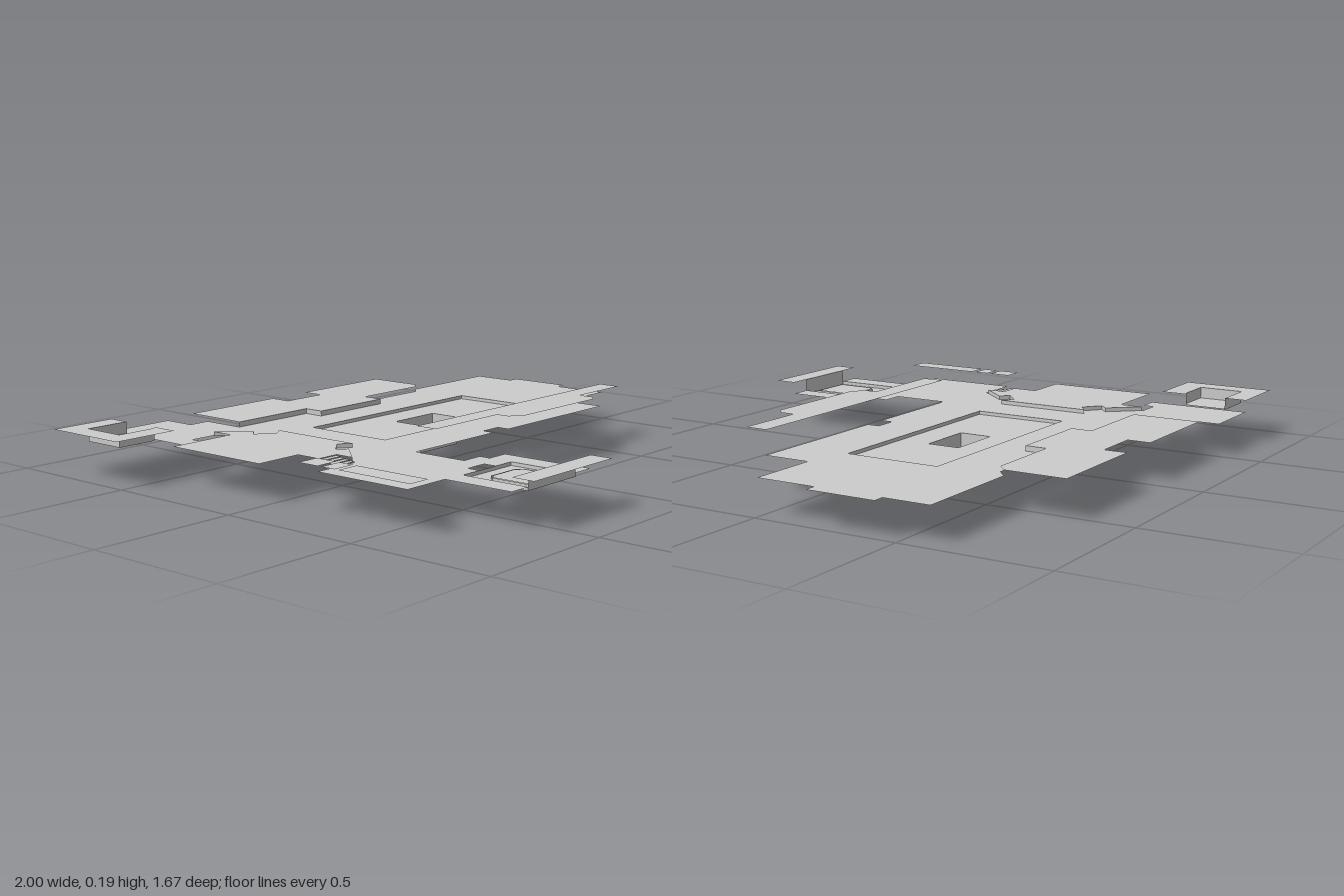
import * as THREE from 'three';

const material = new THREE.MeshStandardMaterial({ color: 0xcccccc, side: THREE.DoubleSide, flatShading: true });

// Floor levels
const SUNK = 0.1, MAIN = 0.112, RAISED = 0.13, WING = 0.126, LEDGE = 0.155, GALLERY = 0.195;

const rect = (x0, x1, z0, z1) => [[x0, z0], [x1, z0], [x1, z1], [x0, z1]];

export function createModel() {
  const model = new THREE.Group();

  function add(name, geometry) {
    const mesh = new THREE.Mesh(geometry, material);
    mesh.name = name;
    model.add(mesh);
    return mesh;
  }

  // Flat sheet from [x, z] corners, with optional holes
  function sheet(name, y, outline, holes = []) {
    const points = (list) => list.map(([x, z]) => new THREE.Vector2(x, -z));
    const shape = new THREE.Shape(points(outline));
    holes.forEach((hole) => shape.holes.push(new THREE.Path(points(hole))));
    add(name, new THREE.ShapeGeometry(shape).rotateX(-Math.PI / 2).translate(0, y, 0));
  }

  // Upright strips along a path of [x, z] corners
  function risers(name, path, y0, y1, closed = false) {
    const position = [];
    const count = closed ? path.length : path.length - 1;
    for (let i = 0; i < count; i++) {
      const [ax, az] = path[i];
      const [bx, bz] = path[(i + 1) % path.length];
      position.push(ax, y0, az, bx, y0, bz, bx, y1, bz, ax, y0, az, bx, y1, bz, ax, y1, az);
    }
    const geometry = new THREE.BufferGeometry();
    geometry.setAttribute('position', new THREE.Float32BufferAttribute(position, 3));
    geometry.computeVertexNormals();
    add(name, geometry);
  }

  // Central hall with its sunken floor and open shaft
  const basin = rect(-0.27, 0.55, -0.355, -0.02);
  const shaft = rect(0.04, 0.245, -0.245, -0.13);
  const halfEdge = [[-0.43, -0.36], [-0.47, -0.33], [-0.53, -0.38], [-0.5, -0.41], [-0.59, -0.51]];
  const wingEdge = [
    ...halfEdge.slice().reverse(),
    ...halfEdge.map(([x, z]) => [x, -0.38 - z]),
  ];
  sheet('hallFloor', MAIN, [
    ...wingEdge,
    [-0.59, 0.14], [-0.35, 0.14], [-0.35, 0.185], [-0.03, 0.185], [0.06, 0.185], [0.06, 0.14],
    [0.14, 0.14], [0.14, 0.185], [0.71, 0.185], [0.71, 0.02], [0.96, 0.02],
    [0.96, -0.19], [1, -0.19], [1, -0.43], [0.96, -0.43], [0.96, -0.59], [0.55, -0.59],
    [0.51, -0.555], [0.22, -0.555], [0.22, -0.48], [-0.1, -0.48], [-0.1, -0.555],
    [-0.43, -0.555], [-0.43, -0.72], [-0.51, -0.72], [-0.51, -0.84],
    [-0.59, -0.84],
  ], [basin]);
  sheet('sunkenHallFloor', SUNK, basin, [shaft]);
  risers('sunkenHallSteps', basin, SUNK, MAIN, true);
  risers('shaftWalls', shaft, 0, SUNK, true);

  // Back platform, stepped on its left half
  sheet('backPlatform', RAISED, [
    [-0.43, -0.8], [-0.03, -0.8], [-0.03, -0.72], [0.14, -0.72], [0.14, -0.8], [0.55, -0.8],
    [0.55, -0.59], [0.51, -0.555], [0.22, -0.555], [0.22, -0.48], [-0.1, -0.48],
    [-0.1, -0.555], [-0.43, -0.555],
  ]);
  risers('backPlatformSteps', [[-0.43, -0.555], [-0.1, -0.555], [-0.1, -0.48], [0.22, -0.48], [0.22, -0.555]], MAIN, RAISED);

  // Front gallery above the hall
  sheet('frontGallery', GALLERY, [
    [-0.34, 0.18], [0.71, 0.18], [0.71, 0.26], [0.465, 0.26], [0.465, 0.31], [0.43, 0.34],
    [0.02, 0.34], [-0.02, 0.305], [-0.02, 0.26], [-0.34, 0.26],
  ]);

  // Side wing with a zigzag stepped edge
  sheet('wingFloor', WING, [
    [-0.59, -0.43], [-0.59, -0.51], ...wingEdge.slice(1), [-0.59, 0.06], [-0.67, 0.06],
    [-0.67, -0.03], [-0.84, -0.03], [-0.84, -0.43],
  ]);
  risers('wingSteps', wingEdge, MAIN, WING);
  for (let i = 0; i < 4; i++) {
    const z = 0.06 + i * 0.02;
    const y = WING - (i + 1) * 0.0028;
    sheet('stairTread', y, rect(-0.67, -0.59, z, z + 0.02));
    risers('stairRiser', [[-0.67, z], [-0.59, z]], y, y + 0.0028);
  }

  // Back corner room with a raised surround
  const alcove = [[-0.76, -0.76], [-0.92, -0.76], [-0.92, -0.6], [-0.785, -0.6], [-0.767, -0.607], [-0.76, -0.625]];
  sheet('cornerRoomFloor', MAIN, [
    [-0.76, -0.84], [-0.59, -0.84], [-0.59, -0.515], [-0.68, -0.515], [-0.68, -0.475],
    [-0.76, -0.475],
  ]);
  sheet('alcoveFloor', MAIN + 0.003, alcove);
  risers('alcoveWalls', alcove.slice(0, 5), MAIN, LEDGE);
  sheet('alcoveLedge', LEDGE, [
    [-1, -0.84], [-0.76, -0.84], ...alcove.slice(0, 5), [-0.76, -0.607], [-0.76, -0.515], [-1, -0.515],
  ]);

  // Passage to the front room
  sheet('passageFloor', MAIN, [
    [-0.76, 0.14], [-0.35, 0.14], [-0.35, 0.385], [-0.27, 0.385], [-0.27, 0.425],
    [-0.59, 0.425], [-0.59, 0.505], [-0.76, 0.505],
  ]);
  [[0.14, 0.22], [0.235, 0.29], [0.305, 0.585]].forEach(([z0, z1]) =>
    sheet('sideLedge', LEDGE, rect(-0.84, -0.76, z0, z1)));

  // Front room with sunken floor, back wall and ledge
  const well = rect(-0.51, -0.27, 0.51, 0.755);
  const frame = (d) => [
    [-0.47 + d, 0.73 - d], [-0.47 + d, 0.59 + d], [-0.45 + d, 0.57 + d],
    [-0.33 - d, 0.57 + d], [-0.31 - d, 0.59 + d], [-0.31 - d, 0.73 - d],
  ];
  sheet('frontRoomFloor', MAIN, [
    [-0.59, 0.425], [-0.19, 0.425], [-0.19, 0.755], [-0.27, 0.755], [-0.27, 0.51],
    [-0.35, 0.51], [-0.35, 0.465], [-0.43, 0.465], [-0.43, 0.51], [-0.51, 0.51],
    [-0.51, 0.755], [-0.59, 0.755],
  ]);
  sheet('frontRoomWell', SUNK, well);
  risers('frontRoomWellSteps', [well[3], well[0], well[1], well[2]], SUNK, MAIN);
  sheet('wellInset', SUNK + 0.008, frame(0.004));
  risers('wellInsetRim', frame(0), SUNK, SUNK + 0.008, true);
  risers('frontRoomWall', [[-0.51, 0.755], [-0.27, 0.755]], SUNK, LEDGE);
  sheet('frontRoomLedge', LEDGE, rect(-0.59, -0.19, 0.755, 0.835));

  return model;
}
